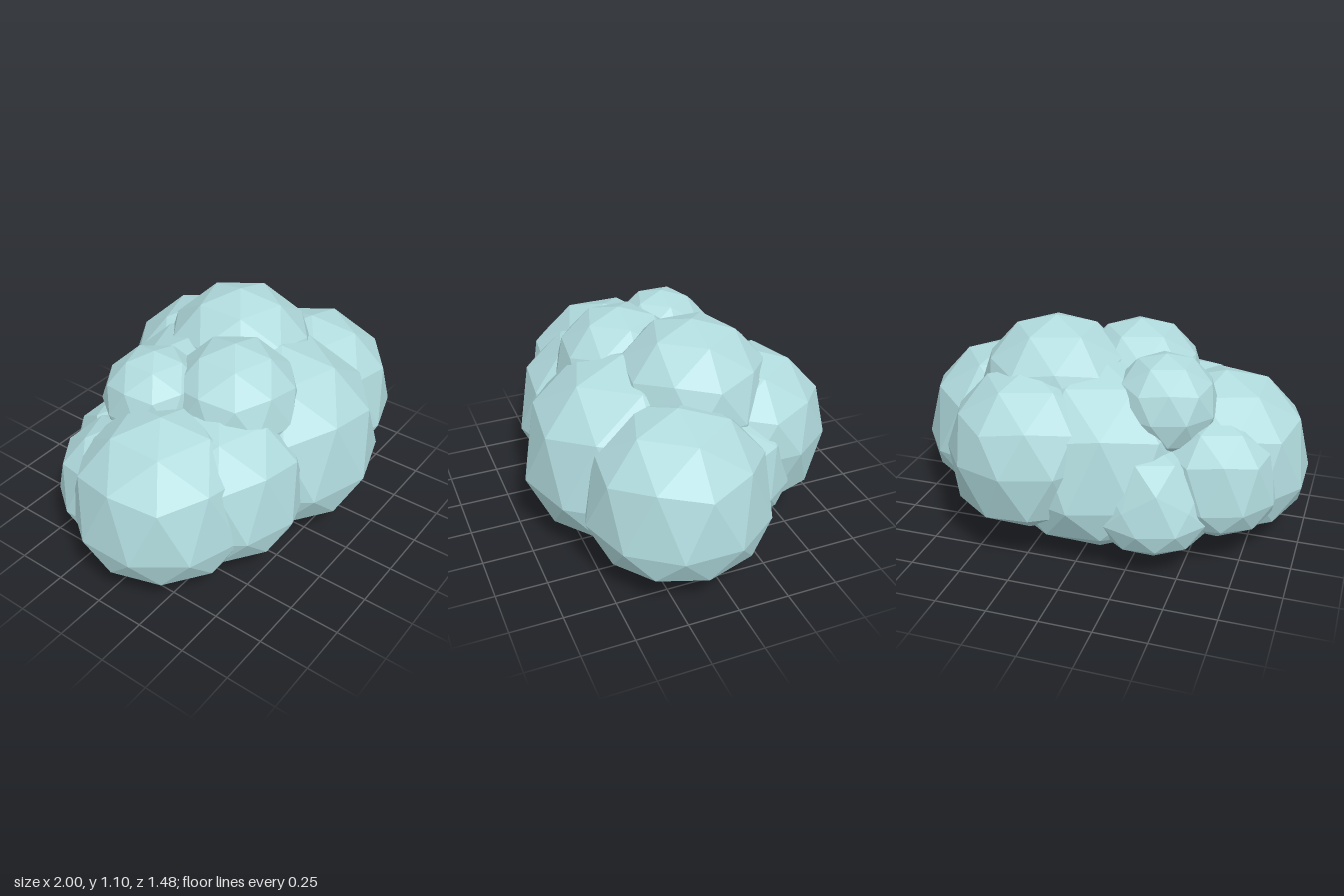
import * as THREE from 'three';

// Puffs as [name, x, y, z, radius]
const PUFFS = [
  ['corePuff', -0.01, 0.43, -0.15, 0.51],
  ['frontPuff', 0.14, 0.43, 0.23, 0.505],
  ['leftPuff', 0.575, 0.42, 0.13, 0.445],
  ['rightPuff', -0.58, 0.42, 0.07, 0.44],
  ['frontRightPuff', -0.33, 0.42, 0.21, 0.42],
  ['backLeftPuff', 0.28, 0.525, -0.34, 0.4],
  ['topLeftPuff', 0.23, 0.715, -0.08, 0.39],
  ['topFrontPuff', -0.13, 0.72, 0.15, 0.33],
  ['topBackPuff', -0.34, 0.74, -0.16, 0.26],
  ['backRightPuff', -0.6, 0.42, -0.17, 0.31],
  ['lowBackPuff', -0.34, 0.33, -0.36, 0.29],
  ['sideGapPuff', 0.47, 0.455, -0.18, 0.29],
];

// Faceted ball with a corner pointing up; its low corners are pressed flatter
function puffGeometry(x, y, z, radius) {
  const geometry = new THREE.IcosahedronGeometry(radius, 1);
  geometry.rotateX(-Math.atan((1 + Math.sqrt(5)) / 2));
  geometry.rotateY(Math.PI / 2);
  geometry.translate(x, y, z);
  const pos = geometry.attributes.position;
  for (let i = 0; i < pos.count; i++) {
    const h = pos.getY(i);
    if (h < 0.47) pos.setY(i, Math.max(0, 0.2 + (h - 0.2) * 0.68));
  }
  geometry.computeVertexNormals();
  return geometry;
}

export function createModel() {
  const group = new THREE.Group();
  group.name = 'puffCluster';
  const material = new THREE.MeshStandardMaterial({ color: 0xb0dadd, flatShading: true });
  for (const [name, x, y, z, radius] of PUFFS) {
    const mesh = new THREE.Mesh(puffGeometry(x, y, z, radius), material);
    mesh.name = name;
    group.add(mesh);
  }
  return group;
}
